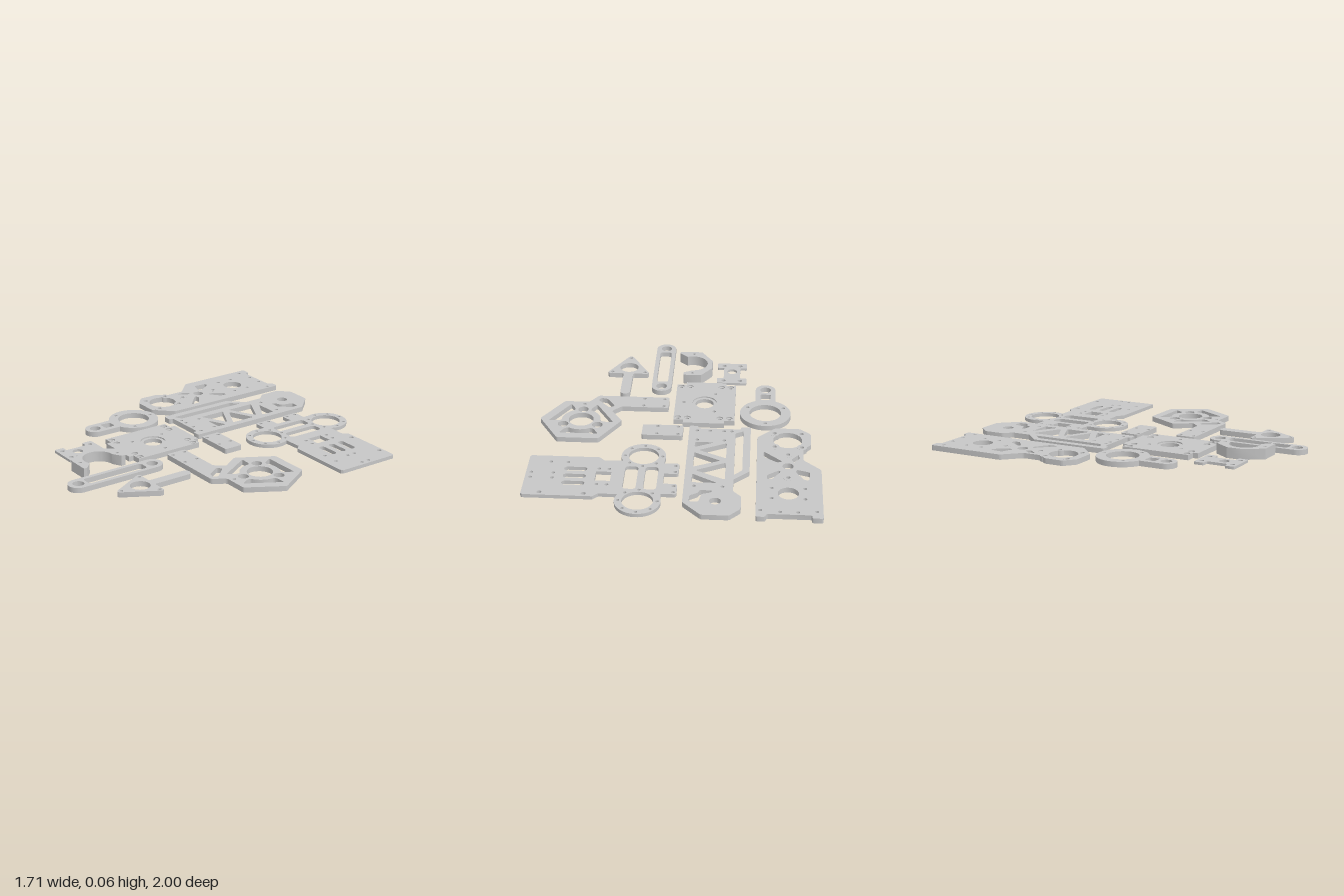
import * as THREE from 'three';
import { toCreasedNormals } from 'three/addons/utils/BufferGeometryUtils.js';

const T = 0.032; // standard plate thickness
const metal = new THREE.MeshStandardMaterial({ color: 0xc6c6c6 });
metal.name = 'plain grey';

// Points along an arc, in degrees, seen from above (x right, z down)
function arc(cx, cz, r, a0, a1, n = 24) {
  return Array.from({ length: n + 1 }, (_, i) => {
    const a = THREE.MathUtils.degToRad(a0 + ((a1 - a0) * i) / n);
    return [cx + r * Math.cos(a), cz + r * Math.sin(a)];
  });
}
const circle = (x, z, r, n = 32) => arc(x, z, r, 0, 360 - 360 / n, n - 1);
const dots = (r, list) => list.map(([x, z]) => circle(x, z, r, 14));
const rect = (x0, z0, x1, z1) => [[x0, z0], [x1, z0], [x1, z1], [x0, z1]];
const slot = (x0, x1, z, r) => [...arc(x1, z, r, -90, 90, 10), ...arc(x0, z, r, 90, 270, 10)];

// Softens the corners of a polygon
function soft(pts, r = 0.012) {
  const v = pts.map(p => new THREE.Vector2(...p)), out = [];
  v.forEach((p, i) => {
    const a = v[(i + v.length - 1) % v.length], b = v[(i + 1) % v.length];
    const p0 = p.clone().add(a.clone().sub(p).setLength(Math.min(r, a.distanceTo(p) * 0.45)));
    const p1 = p.clone().add(b.clone().sub(p).setLength(Math.min(r, b.distanceTo(p) * 0.45)));
    for (const q of new THREE.QuadraticBezierCurve(p0, p, p1).getPoints(4)) out.push([q.x, q.y]);
  });
  return out;
}

// Flat plate from an outline and holes, lying on height y
function plate(name, outline, holes = [], h = T, y = 0) {
  // Outlines run counter-clockwise and holes clockwise, so all walls face outward
  const path = (pts, clockwise) => {
    const v = pts.map(([x, z]) => new THREE.Vector2(x, -z));
    return THREE.ShapeUtils.isClockWise(v) === clockwise ? v : v.reverse();
  };
  const shape = new THREE.Shape(path(outline, false));
  shape.holes = holes.map(p => new THREE.Path(path(p, true)));
  const geo = new THREE.ExtrudeGeometry(shape, { depth: h, bevelEnabled: false });
  geo.rotateX(-Math.PI / 2).translate(0.004, y, 0.004);
  const mesh = new THREE.Mesh(toCreasedNormals(geo, 0.6), metal);
  mesh.name = name;
  return mesh;
}

export function createModel() {
  const g = new THREE.Group();
  g.name = 'framePlates';

  // Side plate with motor openings, spokes and screw bosses
  const bosses = [[-0.668, -0.6], [-0.668, -0.352], [-0.752, -0.267], [-0.589, -0.267], [-0.752, -0.114], [-0.589, -0.114]];
  g.add(plate('sidePlate', soft([
    [-0.862, -1.004], [-0.799, -1.004], [-0.799, -0.975], [-0.545, -0.975], [-0.539, -1.004], [-0.485, -1.004],
    [-0.485, -0.167], [-0.594, -0.057], [-0.742, -0.057], [-0.808, -0.114], [-0.808, -0.235],
    [-0.76, -0.288], [-0.76, -0.41], [-0.862, -0.51]]), [
    circle(-0.668, -0.765, 0.06), circle(-0.668, -0.479, 0.032), circle(-0.668, -0.193, 0.087),
    soft([[-0.79, -0.622], [-0.763, -0.622], [-0.712, -0.54], [-0.718, -0.515], [-0.795, -0.54]]),
    soft([[-0.573, -0.622], [-0.546, -0.622], [-0.546, -0.58], [-0.615, -0.527], [-0.626, -0.542]]),
    soft([[-0.636, -0.431], [-0.605, -0.442], [-0.525, -0.384], [-0.525, -0.325]]),
    soft([[-0.737, -0.394], [-0.705, -0.437], [-0.689, -0.405], [-0.731, -0.352]], 0.006),
    ...dots(0.011, [[-0.826, -0.939], [-0.721, -0.95], [-0.62, -0.95], [-0.51, -0.939],
      [-0.763, -0.817], [-0.573, -0.817], [-0.763, -0.712], [-0.573, -0.712]]),
    ...dots(0.013, bosses)]));
  bosses.forEach(([x, z]) => g.add(plate('screwBoss', circle(x, z, 0.03, 24), dots(0.013, [[x, z]]), T + 0.0004)));

  // Truss plate
  g.add(plate('trussPlate', soft([
    [-0.338, -1.004], [-0.18, -1.004], [-0.071, -0.886], [-0.071, -0.055], [-0.124, -0.055], [-0.124, -0.082],
    [-0.386, -0.082], [-0.386, -0.055], [-0.445, -0.055], [-0.445, -0.548], [-0.354, -0.638],
    [-0.354, -0.759], [-0.402, -0.812], [-0.402, -0.934]]), [
    circle(-0.256, -0.865, 0.033),
    soft([[-0.161, -0.876], [-0.108, -0.876], [-0.108, -0.817], [-0.158, -0.785], [-0.163, -0.759],
      [-0.235, -0.759], [-0.23, -0.78], [-0.177, -0.798]]),
    soft([[-0.26, -0.68], [-0.113, -0.68], [-0.113, -0.59]]),
    soft([[-0.304, -0.643], [-0.13, -0.553], [-0.304, -0.463]]),
    soft([[-0.113, -0.516], [-0.113, -0.357], [-0.272, -0.442]]),
    soft([[-0.304, -0.415], [-0.14, -0.331], [-0.304, -0.246]]),
    soft([[-0.113, -0.299], [-0.113, -0.241], [-0.23, -0.241]]),
    soft([[-0.402, -0.54], [-0.354, -0.59], [-0.354, -0.13], [-0.402, -0.103]]),
    ...dots(0.011, [[-0.293, -0.717], [-0.129, -0.717], [-0.288, -0.214], [-0.124, -0.214],
      [-0.33, -0.108], [-0.282, -0.108], [-0.198, -0.108], [-0.119, -0.108]])]));

  // Twin ring plate with slotted tail
  const ringScrews = z => [0, 45, 90, 135, 180, 225, 270, 315].map(a => arc(0.182, z, 0.111, a, a, 1)[0]);
  g.add(plate('twinRingPlate', [
    ...arc(0.182, -0.872, 0.132, 165, 386, 40),
    [0.41, -0.812], [0.441, -0.844], [0.842, -0.844], [0.852, -0.834], [0.852, -0.441], [0.842, -0.431],
    [0.441, -0.431], [0.41, -0.463], ...arc(0.182, -0.4, 0.132, -26, 195, 40),
    [0.055, -0.474], [-0.023, -0.474], [-0.033, -0.484], [-0.033, -0.575], [-0.023, -0.585], [0.05, -0.585],
    [0.05, -0.69], [-0.023, -0.69], [-0.033, -0.7], [-0.033, -0.786], [-0.023, -0.796], [0.055, -0.796]], [
    circle(0.182, -0.872, 0.09), circle(0.182, -0.4, 0.09),
    soft(rect(0.085, -0.755, 0.161, -0.518), 0.025), soft(rect(0.203, -0.755, 0.28, -0.518), 0.025),
    rect(0.356, -0.68, 0.446, -0.585),
    ...[-0.712, -0.638, -0.563].map(z => slot(0.52, 0.614, z, 0.02)),
    ...dots(0.01, [...ringScrews(-0.872), ...ringScrews(-0.4)]),
    ...dots(0.011, [[-0.013, -0.775], [-0.013, -0.712], [-0.013, -0.563], [-0.013, -0.5],
      [0.372, -0.717], [0.43, -0.717], [0.372, -0.553], [0.43, -0.553],
      [0.821, -0.664], [0.821, -0.611], [0.694, -0.664], [0.694, -0.611], [0.62, -0.495], [0.721, -0.495]]),
    ...dots(0.014, [[0.494, -0.817], [0.747, -0.817]])], 0.022));

  // Small rectangular spacer
  g.add(plate('spacerPlate', soft(rect(-0.033, -0.177, 0.215, -0.055)),
    dots(0.011, [[-0.003, -0.156], [0.124, -0.156], [-0.003, -0.071], [0.124, -0.071]])));

  // Hexagonal mount with arm; the window repeats three times around the hub
  const hub = new THREE.Vector2(0.6, -0.018);
  const window = soft([[0.482, -0.18], [0.718, -0.18], [0.69, -0.13], ...arc(0.6, -0.018, 0.12, -55, -125, 8), [0.51, -0.13]], 0.01);
  const turned = deg => window.map(p =>
    new THREE.Vector2(...p).rotateAround(hub, THREE.MathUtils.degToRad(deg)).toArray());
  g.add(plate('hexagonMount', soft([
    [0.853, -0.018], [0.726, -0.235], [0.473, -0.235], [0.349, -0.018], [0.42, 0.093], [0.367, 0.151],
    [0.073, 0.151], [0.073, 0.278], [0.52, 0.278], [0.573, 0.198], [0.726, 0.198]]), [
    circle(0.6, -0.018, 0.077),
    ...[[0.494, -0.077], [0.705, -0.077], [0.6, 0.103]].map(([x, z]) => circle(x, z, 0.032)),
    ...[0, 120, 240].map(turned),
    soft([[0.409, 0.156], [0.441, 0.135], [0.515, 0.22], [0.504, 0.251], [0.462, 0.241]]),
    ...dots(0.011, [[0.103, 0.172], [0.103, 0.257], [0.23, 0.172], [0.23, 0.257], [0.6, 0.17]])]));

  // Ring with handle
  g.add(plate('ringHandle', [
    ...arc(-0.531, 0.124, 0.157, 114, 426, 48), ...arc(-0.531, 0.41, 0.063, 0, 180, 20)], [
    circle(-0.531, 0.124, 0.098, 40), circle(-0.531, 0.41, 0.034),
    soft([[-0.56, 0.285], [-0.502, 0.285], [-0.497, 0.352], [-0.565, 0.352]]),
    ...dots(0.011, [[-0.531, 0], [-0.642, 0.188], [-0.42, 0.188]])]));

  // Square base plate in two layers, with counterbored holes
  const base = [
    [-0.342, 0.013], [-0.279, 0.013], [-0.279, -0.02], [-0.026, -0.02], [-0.026, 0.013], [0.034, 0.013],
    [0.034, 0.452], [-0.026, 0.452], [-0.026, 0.484], [-0.279, 0.484], [-0.279, 0.452], [-0.342, 0.452]];
  const screws = [];
  for (const x of [-0.309, -0.251, -0.05, 0.008]) for (const z of [0.042, 0.428]) screws.push([x, z]);
  const pins = dots(0.011, [[-0.214, 0.124], [-0.214, 0.341], [-0.018, 0.23]]);
  g.add(plate('basePlateLower', base, [circle(-0.15, 0.23, 0.057), ...dots(0.011, screws), ...pins], 0.024));
  g.add(plate('basePlateUpper', base, [circle(-0.15, 0.23, 0.076), ...dots(0.021, screws), ...pins], 0.008, 0.024));

  // Thin I-shaped bracket
  g.add(plate('thinBracket', soft([
    [-0.406, 0.519], [-0.216, 0.519], [-0.216, 0.583], [-0.258, 0.583], [-0.258, 0.717], [-0.216, 0.717],
    [-0.216, 0.778], [-0.406, 0.778], [-0.406, 0.717], [-0.364, 0.717], [-0.364, 0.583], [-0.406, 0.583]], 0.008), [
    circle(-0.311, 0.67, 0.031),
    ...dots(0.014, [[-0.364, 0.551], [-0.258, 0.551], [-0.364, 0.747], [-0.258, 0.747]])], 0.016));

  // Tall open clip
  g.add(plate('openClip', [
    [0.001, 0.528], [-0.007, 0.523], [-0.113, 0.523], [-0.182, 0.622], [-0.182, 0.717], [-0.108, 0.835],
    [0.034, 0.835], [0.038, 0.815], [0.028, 0.804], ...arc(-0.055, 0.68, 0.095, 65, 270, 30), [0, 0.555]],
    dots(0.01, [[-0.055, 0.55], [-0.055, 0.806]]), 0.065));

  // Long link bar
  g.add(plate('linkBar', [...arc(0.135, 0.426, 0.063, 180, 360), ...arc(0.135, 0.933, 0.063, 0, 180)], [
    circle(0.135, 0.426, 0.034), circle(0.135, 0.933, 0.034), soft(rect(0.098, 0.484, 0.172, 0.881), 0.02)]));

  // Arrow-shaped arm
  g.add(plate('arrowArm', [
    ...arc(0.362, 0.346, 0.031, 180, 360, 16), [0.393, 0.57], [0.402, 0.579], [0.485, 0.579], [0.494, 0.595],
    [0.376, 0.805], [0.362, 0.813], [0.348, 0.805], [0.23, 0.595], [0.239, 0.579], [0.322, 0.579], [0.331, 0.57]], [
    circle(0.362, 0.659, 0.06), ...dots(0.011, [[0.257, 0.598], [0.467, 0.598], [0.362, 0.788]])]));

  return g;
}
